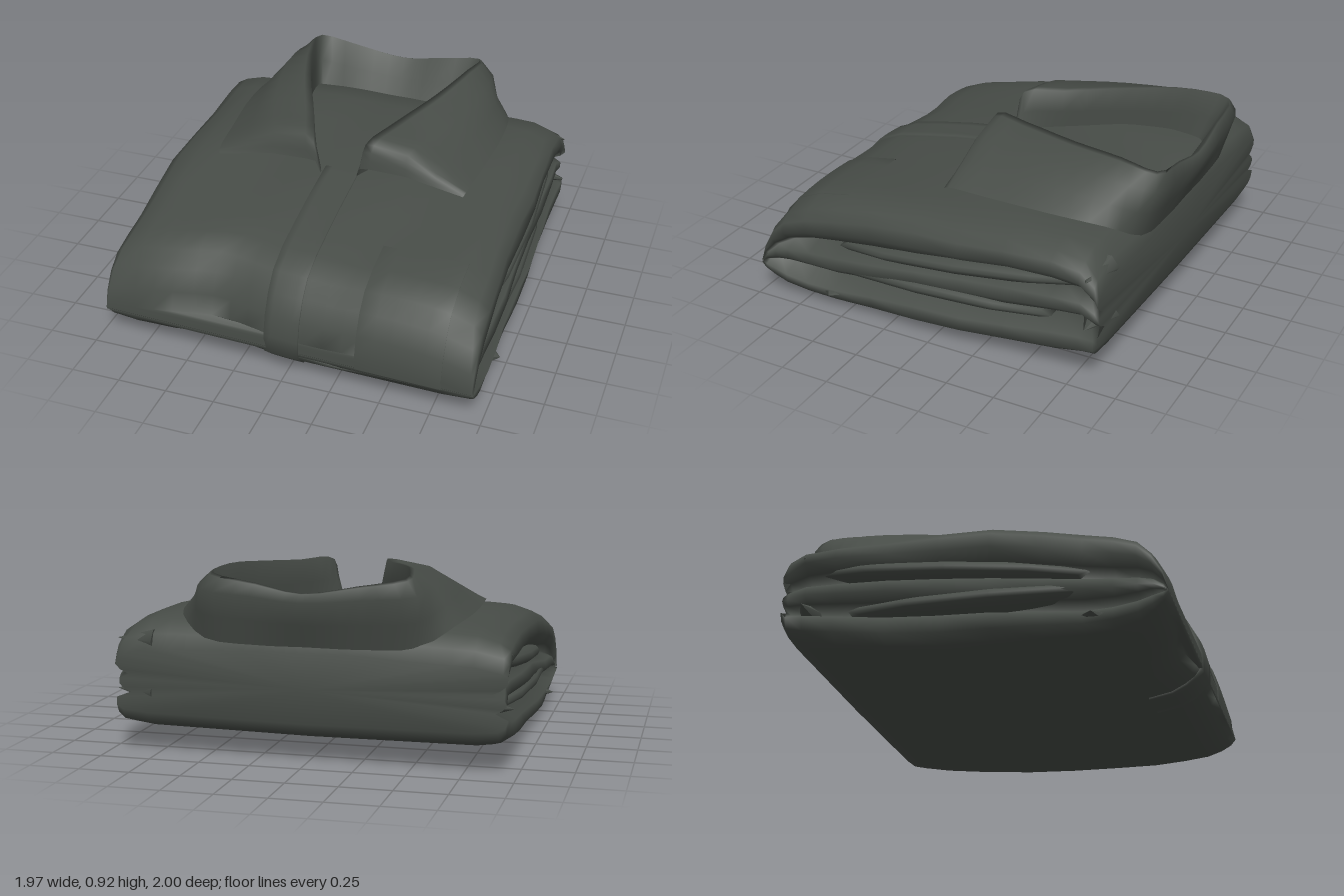
import * as THREE from 'three';

const cloth = new THREE.MeshStandardMaterial({ color: 0x474c47, side: THREE.DoubleSide });
cloth.name = 'darkGreyCloth';

// z, top height, bottom height of the folded body, front to back
const STATIONS = [
  [0.965, 0.23, 0.14], [0.94, 0.33, 0.105], [0.89, 0.43, 0.07], [0.82, 0.51, 0.035], [0.7, 0.56, 0.012],
  [0.55, 0.59, 0], [0.35, 0.625, 0.005], [0.1, 0.66, 0.015], [-0.15, 0.675, 0.025], [-0.4, 0.685, 0.045],
  [-0.65, 0.68, 0.08], [-0.8, 0.66, 0.11], [-0.88, 0.6, 0.14], [-0.905, 0.53, 0.19],
];
// fraction of side height, inset from the outer edge: the stacked side folds
const SIDE = [[0, 0.07], [0.07, 0.01], [0.2, 0], [0.3, 0.13], [0.37, 0.05], [0.44, 0.01],
  [0.54, 0.02], [0.62, 0.13], [0.7, 0.05], [0.8, 0], [0.92, 0.01], [1, 0.06]];

// Uneven front and back edges
function skewZ(x, z) {
  const edge = 0.035 * x - 0.055 * Math.exp(-(((x + 0.35) / 0.2) ** 2));
  return z > 0 ? z + edge * THREE.MathUtils.smoothstep(z, 0.2, 0.95) : z * (1 - 0.025 * x);
}

function topY(x, z) {
  let i = 1;
  while (i < STATIONS.length - 1 && STATIONS[i][0] > z) i++;
  const [z0, t0] = STATIONS[i - 1], [z1, t1] = STATIONS[i];
  const t = THREE.MathUtils.clamp((z0 - z) / (z0 - z1), 0, 1);
  const wrinkle = 0.009 * Math.sin(6 * x + 5 * z) * Math.min(1, 3 * Math.abs(x));
  return t0 + (t1 - t0) * t - 0.055 * Math.abs(x) ** 4 + wrinkle;
}

function meshFrom(name, positions, index) {
  const g = new THREE.BufferGeometry();
  g.setAttribute('position', new THREE.Float32BufferAttribute(positions, 3));
  g.setIndex(index);
  g.computeVertexNormals();
  const m = new THREE.Mesh(g, cloth);
  m.name = name;
  return m;
}

// Sheet through a grid of points
function sheet(name, rows) {
  const n = rows[0].length, index = [];
  for (let i = 0; i < rows.length - 1; i++) for (let j = 0; j < n - 1; j++) {
    const a = i * n + j, c = a + n;
    index.push(a, c, a + 1, a + 1, c, c + 1);
  }
  return meshFrom(name, rows.flat(2), index);
}

function foldedBody() {
  const rings = STATIONS.map(([z, , bottom]) => {
    const half = (s) => {
      const pts = [0.15, 0.3, 0.45, 0.6, 0.8].map((x) => [s * x, bottom + 0.01 * x, z]);
      const top = topY(s * 0.9, z), low = bottom + 0.02;
      const depth = THREE.MathUtils.clamp((0.97 - z) * 5, 0.2, 1) * (z < -0.85 ? 0.5 : 1);
      for (const [f, inset] of SIDE) {
        const x = 0.955 - inset * depth + 0.008 * Math.sin(7 * z + 9 * f + s);
        pts.push([s * x, low + (top - 0.02 - low) * (f + 0.2 * depth * Math.sin(-2 * z) * f * (1 - f)), z]);
      }
      for (let x = 0.8; x > 0.05; x -= 0.1) pts.push([s * x, topY(s * x, z), z]);
      return pts;
    };
    const ring = [[0, bottom, z], ...half(1), [0, topY(0, z), z], ...half(-1).reverse()];
    return ring.map(([x, y, zz]) => [x, y, skewZ(x, zz)]);
  });
  const n = rings[0].length, positions = rings.flat(2), index = [];
  for (let i = 0; i < rings.length - 1; i++) for (let j = 0; j < n; j++) {
    const k = (j + 1) % n, a = i * n + j, b = i * n + k;
    index.push(a, a + n, b, b, a + n, b + n);
  }
  // front closed straight across, back closed by a bulging fan
  const half = n / 2, last = n * (rings.length - 1), back = rings.length * n;
  positions.push(0, 0.36, -0.93);
  for (let j = 0; j < half; j++) {
    const a = (n - j) % n, b = n - j - 1;
    index.push(a, j, j + 1, a, j + 1, b);
  }
  for (let j = 0; j < n; j++) index.push(back, last + ((j + 1) % n), last + j);
  return meshFrom('foldedBody', positions, index);
}

// Raised strip lying on the top and turning down over the front
function strip(name, x0, x1, zStart, lift, wrap) {
  const cols = [0, 0, 0.2, 0.4, 0.6, 0.8, 1, 1].map((f) => x0 + (x1 - x0) * f);
  const up = (i) => (i === 0 || i === cols.length - 1 ? -0.01 : lift);
  const rows = [];
  const add = (yAt, z, dy, dz) => rows.push(cols.map((x, i) =>
    [x, yAt(x) + up(i) * dy, skewZ(x, z) + up(i) * dz]));
  for (const z of [zStart, ...STATIONS.map((s) => s[0]).reverse().filter((v) => v > zStart)]) {
    const lean = THREE.MathUtils.smoothstep(z, 0.7, 0.95);
    add((x) => topY(x, z), z, 1 - 0.6 * lean, lean);
  }
  for (const [y, z, dy, dz] of wrap) add(() => y, z, dy, dz);
  return sheet(name, rows);
}

// Half collar, front to back: inner base, crest, middle and outer edge
const COLLAR = [
  [[0.05, 0.6, 0.11], [0.1, 0.72, 0.11], [0.34, 0.72, 0.11], [0.64, 0.655, 0.1]],
  [[0.08, 0.61, 0.06], [0.12, 0.85, 0.08], [0.34, 0.82, 0.07], [0.65, 0.67, 0.07]],
  [[0.18, 0.61, -0.1], [0.19, 0.87, -0.12], [0.42, 0.84, -0.13], [0.67, 0.68, -0.15]],
  [[0.33, 0.61, -0.44], [0.33, 0.9, -0.45], [0.51, 0.85, -0.46], [0.69, 0.69, -0.5]],
  [[0.4, 0.61, -0.7], [0.42, 0.92, -0.74], [0.54, 0.85, -0.76], [0.65, 0.67, -0.77]],
  [[0.39, 0.61, -0.8], [0.44, 0.9, -0.93], [0.5, 0.82, -0.95], [0.5, 0.58, -0.89]],
  [[0.2, 0.61, -0.81], [0.22, 0.86, -0.95], [0.24, 0.8, -0.985], [0.24, 0.56, -0.91]],
];
const COLLAR_BACK = [[0, 0.61, -0.82], [0, 0.82, -0.96], [0, 0.78, -1], [0, 0.56, -0.91]];

function collar() {
  const left = COLLAR.map((r) => r.map(([x, y, z]) => [-x - 0.04, y, z]));
  const stations = [...COLLAR, COLLAR_BACK, ...left.reverse()];
  const lines = [0, 1, 2, 3].map((k) =>
    new THREE.CatmullRomCurve3(stations.map((r) => new THREE.Vector3(...r[k])), false, 'centripetal'));
  const rows = [];
  const N = (stations.length - 1) * 3;
  for (let i = 0; i <= N; i++) {
    const [base, crest, mid, outer] = lines.map((l) => l.getPoint(i / N));
    const inner = base.clone().lerp(crest, 0.55);
    const roll = crest.clone().lerp(mid, 0.2);
    roll.y += 0.005;
    const fall = mid.clone().lerp(outer, 0.5);
    rows.push([base, inner, crest, roll, mid, fall, outer].map((p) => p.toArray()));
  }
  return sheet('collar', rows);
}

// Flattened roll of cloth at the side
function sideFold(s, y, z, length, tilt) {
  const m = new THREE.Mesh(new THREE.SphereGeometry(1, 10, 8), cloth);
  m.name = 'sleeveFold';
  m.scale.set(0.1, 0.05, length);
  m.position.set(s * 0.86, y, z);
  m.rotation.x = tilt;
  return m;
}

// Flat pointed corner of cloth
function clothTip(s, x, y, z, spread) {
  const m = new THREE.Mesh(new THREE.ConeGeometry(1, 1, 6), cloth);
  m.name = 'clothCorner';
  m.scale.set(0.06, 0.2, spread);
  m.position.set(s * (x - 0.1), y, z);
  m.rotation.z = -s * Math.PI / 2;
  return m;
}

export function createModel() {
  const model = new THREE.Group();
  model.name = 'foldedShirt';
  model.add(foldedBody(), collar());
  model.add(strip('buttonPlacket', -0.1, 0.08, 0.06, 0.012,
    [[0.14, 0.965, -0.4, 0.8], [0.07, 0.89, -0.7, 0.6], [0.035, 0.82, -0.8, 0.3], [0.012, 0.7, -0.8, 0]]));
  model.add(strip('chestPocket', 0.37, 0.8, 0.54, 0.006, [[0.16, 0.965, 0, 1]]));
  for (const s of [1, -1]) {
    model.add(sideFold(s, 0.25, 0.1, 0.75, 0.03), sideFold(s, 0.42, -0.12, 0.72, 0.12));
    model.add(clothTip(s, 0.985, 0.09, 0.58, 0.26), clothTip(s, 0.975, 0.3, -0.82, 0.09));
    model.add(clothTip(s, 0.97, 0.55, -0.82, 0.08));
  }
  return model;
}
